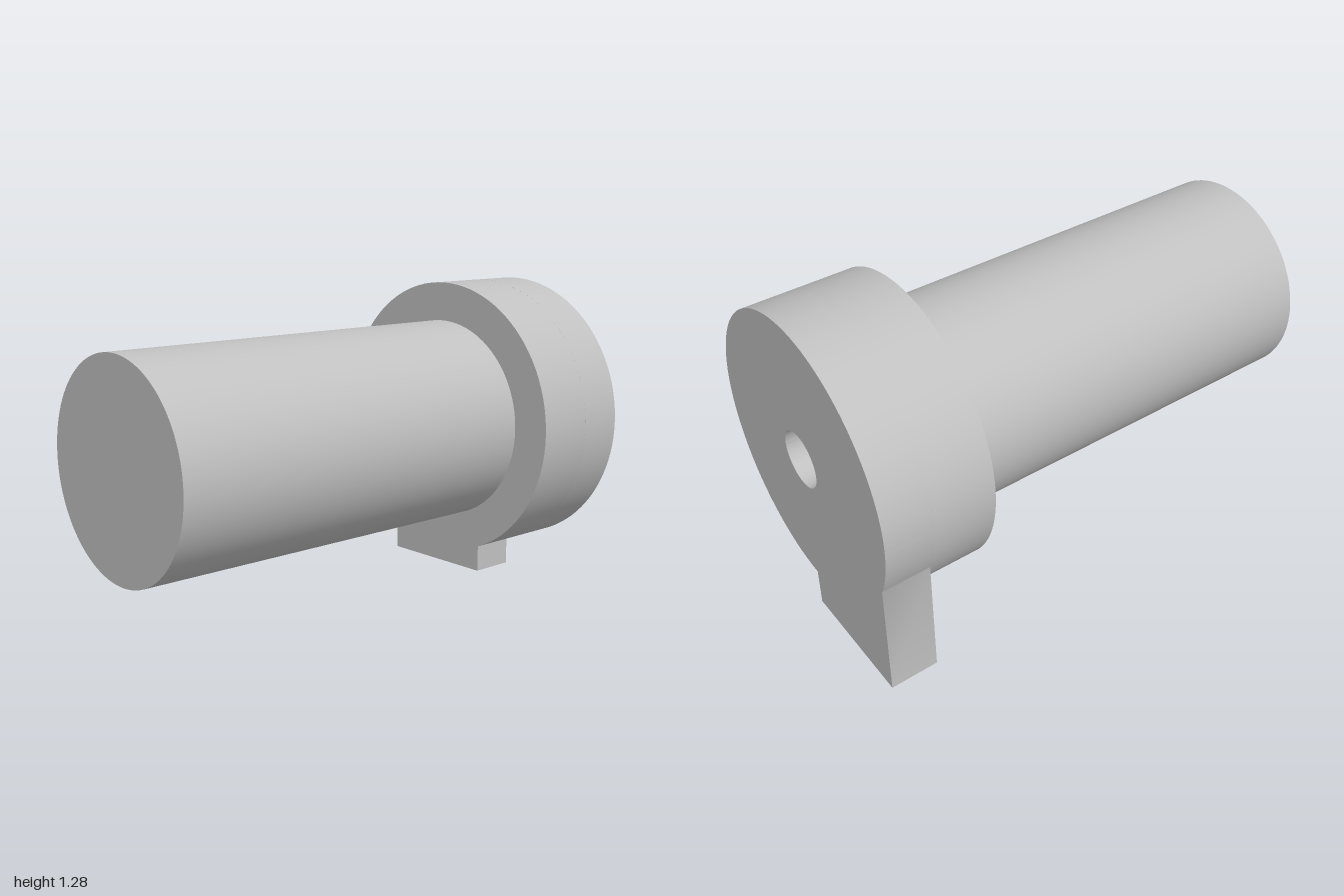
import * as THREE from 'three';
import { toCreasedNormals } from 'three/addons/utils/BufferGeometryUtils.js';

const AXIS_Y = 0.723;      // height of the centre line
const HEAD_R = 0.56;
const SHAFT_R = 0.405;
const HOLE_R = 0.11;
const TAB_X = -0.512;      // outer side of the tab
const BACK = -1, TAB_FRONT = -0.81, HEAD_FRONT = -0.565, FRONT = 1;
const HOLE_END = -0.5;

export function createModel() {
  const group = new THREE.Group();
  const grey = new THREE.MeshStandardMaterial({ color: 0xc0c0c0 });
  grey.name = 'plain grey';

  const add = (geometry, name) => {
    const mesh = new THREE.Mesh(toCreasedNormals(geometry, 0.6), grey);
    mesh.name = name;
    mesh.position.y = AXIS_Y;
    group.add(mesh);
  };

  // Back plate: round outline with the square tab, pierced by the bore
  const plate = new THREE.Shape();
  const tabAngle = Math.PI + Math.acos(-TAB_X / HEAD_R);
  plate.moveTo(0, -HEAD_R);
  plate.absarc(0, 0, HEAD_R, -Math.PI / 2, tabAngle, false);
  plate.lineTo(TAB_X, -AXIS_Y);
  plate.lineTo(0, -AXIS_Y);
  plate.closePath();
  const bore = new THREE.Path();
  bore.absarc(0, 0, HOLE_R, 0, Math.PI * 2, true);
  plate.holes.push(bore);
  const plateGeometry = new THREE.ExtrudeGeometry(plate, {
    depth: TAB_FRONT - BACK, bevelEnabled: false, curveSegments: 96,
  });
  plateGeometry.translate(0, 0, BACK);
  add(plateGeometry, 'backPlateWithTab');

  // Turned body: blind bore, rest of the head, shoulder and shaft
  const profile = [
    [0, HOLE_END], [HOLE_R, HOLE_END], [HOLE_R, TAB_FRONT], [HEAD_R, TAB_FRONT],
    [HEAD_R, HEAD_FRONT], [SHAFT_R, HEAD_FRONT], [SHAFT_R, FRONT], [0, FRONT],
  ].map(([r, z]) => new THREE.Vector2(r, z));
  const body = new THREE.LatheGeometry(profile, 96);
  body.rotateX(Math.PI / 2);
  add(body, 'headAndShaft');

  return group;
}
